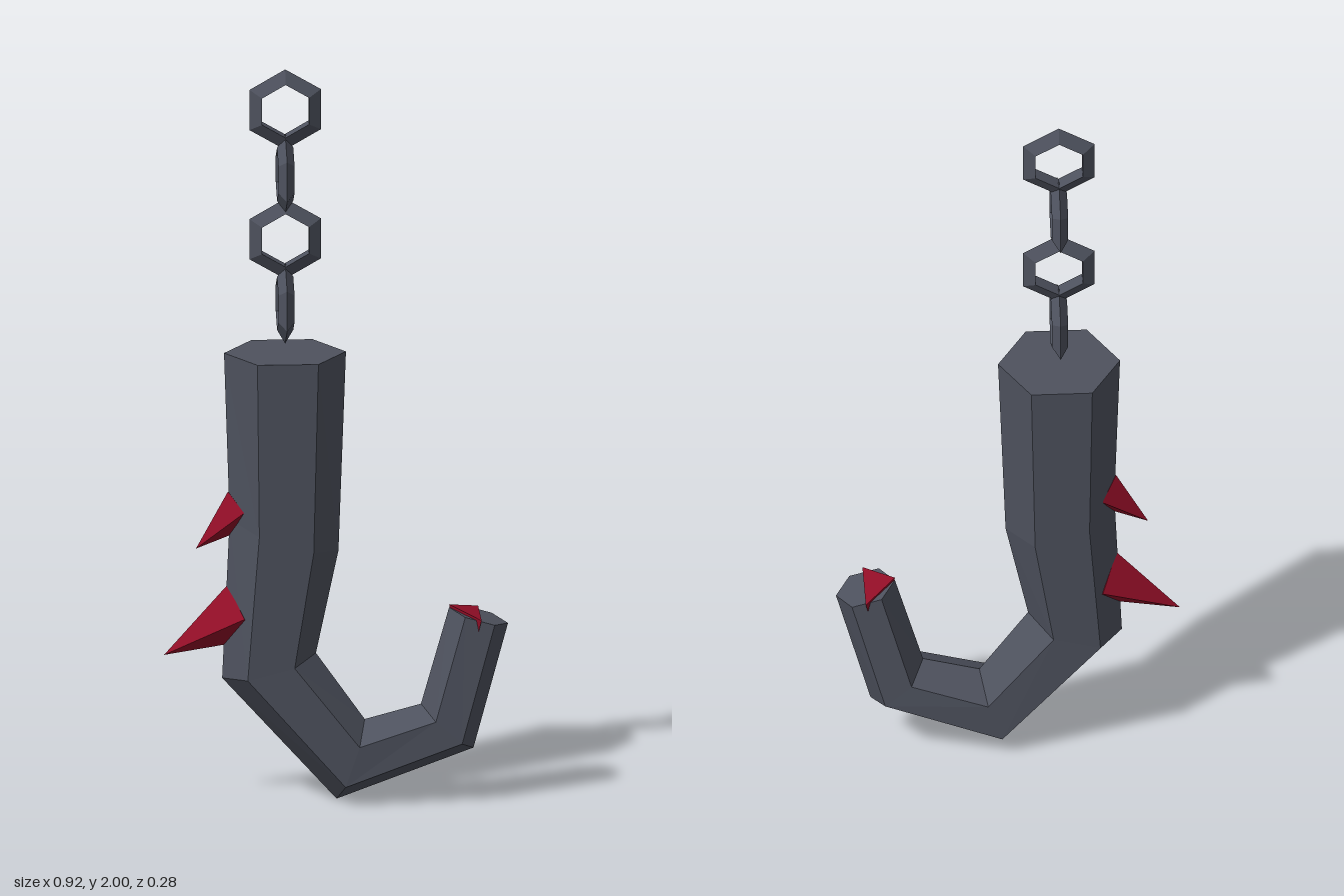
import * as THREE from 'three';

const iron = new THREE.MeshStandardMaterial({ color: 0x4e525e, flatShading: true });
iron.name = 'dark iron';
const red = new THREE.MeshStandardMaterial({ color: 0x930e27, flatShading: true });
red.name = 'blood red';

function facetedMesh(name, points, index, material) {
  const indexed = new THREE.BufferGeometry();
  indexed.setAttribute('position', new THREE.Float32BufferAttribute(points.flat(), 3));
  indexed.setIndex(index);
  const geometry = indexed.toNonIndexed();
  geometry.computeVertexNormals();
  const mesh = new THREE.Mesh(geometry, material);
  mesh.name = name;
  return mesh;
}

// Hexagonal bar swept through sections: outer x, y, inner x, y, half depth
function createHook() {
  const sections = [
    [-0.30, 1.225, 0.025, 1.225, 0.142],
    [-0.285, 0.77, 0.005, 0.68, 0.12],
    [-0.305, 0.335, -0.055, 0.40, 0.106],
    [0.0, 0.0, 0.075, 0.217, 0.099],
    [0.365, 0.135, 0.225, 0.257, 0.085],
    [0.457, 0.475, 0.30, 0.52, 0.07],
  ];
  const ring = [[0, 0], [0.25, 1], [0.75, 1], [1, 0], [0.75, -1], [0.25, -1]];
  const points = [], index = [];
  for (const [ox, oy, ix, iy, depth] of sections)
    for (const [t, s] of ring) points.push([ox + (ix - ox) * t, oy + (iy - oy) * t, s * depth]);
  for (let s = 0; s < sections.length - 1; s++)
    for (let i = 0; i < 6; i++) {
      const a = s * 6 + i, b = s * 6 + (i + 1) % 6;
      index.push(a, a + 6, b + 6, a, b + 6, b);
    }
  // End caps
  const last = (sections.length - 1) * 6;
  for (let i = 1; i < 5; i++) index.push(0, i, i + 1, last, last + i + 1, last + i);
  return facetedMesh('hook', points, index, iron);
}

// Four-sided spike from a buried base centre out to its tip
function createSpike(name, tip, base, radius) {
  const from = new THREE.Vector3(...base, 0), to = new THREE.Vector3(...tip, 0);
  const direction = to.clone().sub(from);
  const geometry = new THREE.ConeGeometry(radius, direction.length(), 4);
  const spike = new THREE.Mesh(geometry, red);
  spike.name = name;
  spike.position.copy(from).add(to).multiplyScalar(0.5);
  spike.quaternion.setFromUnitVectors(new THREE.Vector3(0, 1, 0), direction.normalize());
  return spike;
}

export function createModel() {
  const model = new THREE.Group();
  model.name = 'hook on chain';
  model.add(createHook());

  // Chain of alternating hexagonal links
  const chain = new THREE.Group();
  chain.name = 'chain';
  const linkGeometry = new THREE.TorusGeometry(0.085, 0.025, 3, 6).rotateZ(Math.PI / 6);
  for (let i = 0; i < 4; i++) {
    const link = new THREE.Mesh(linkGeometry, iron);
    link.name = 'chainLink' + (i + 1);
    link.position.set(-0.137, 1.89 - i * 0.177, 0);
    link.rotation.y = (i % 2) * Math.PI / 2;
    chain.add(link);
  }
  model.add(chain);

  // Back spikes
  model.add(createSpike('upperSpike', [-0.375, 0.69], [-0.25, 0.80], 0.06));
  model.add(createSpike('lowerSpike', [-0.46, 0.40], [-0.25, 0.515], 0.085));

  // Red barb set into the hook's end
  const barb = [[0.30, 0.528, 0], [0.382, 0.503, 0.085], [0.382, 0.503, -0.085], [0.34, 0.30, 0]];
  model.add(facetedMesh('tipBarb', barb, [0, 1, 2, 0, 3, 1, 0, 2, 3, 1, 3, 2], red));

  return model;
}
